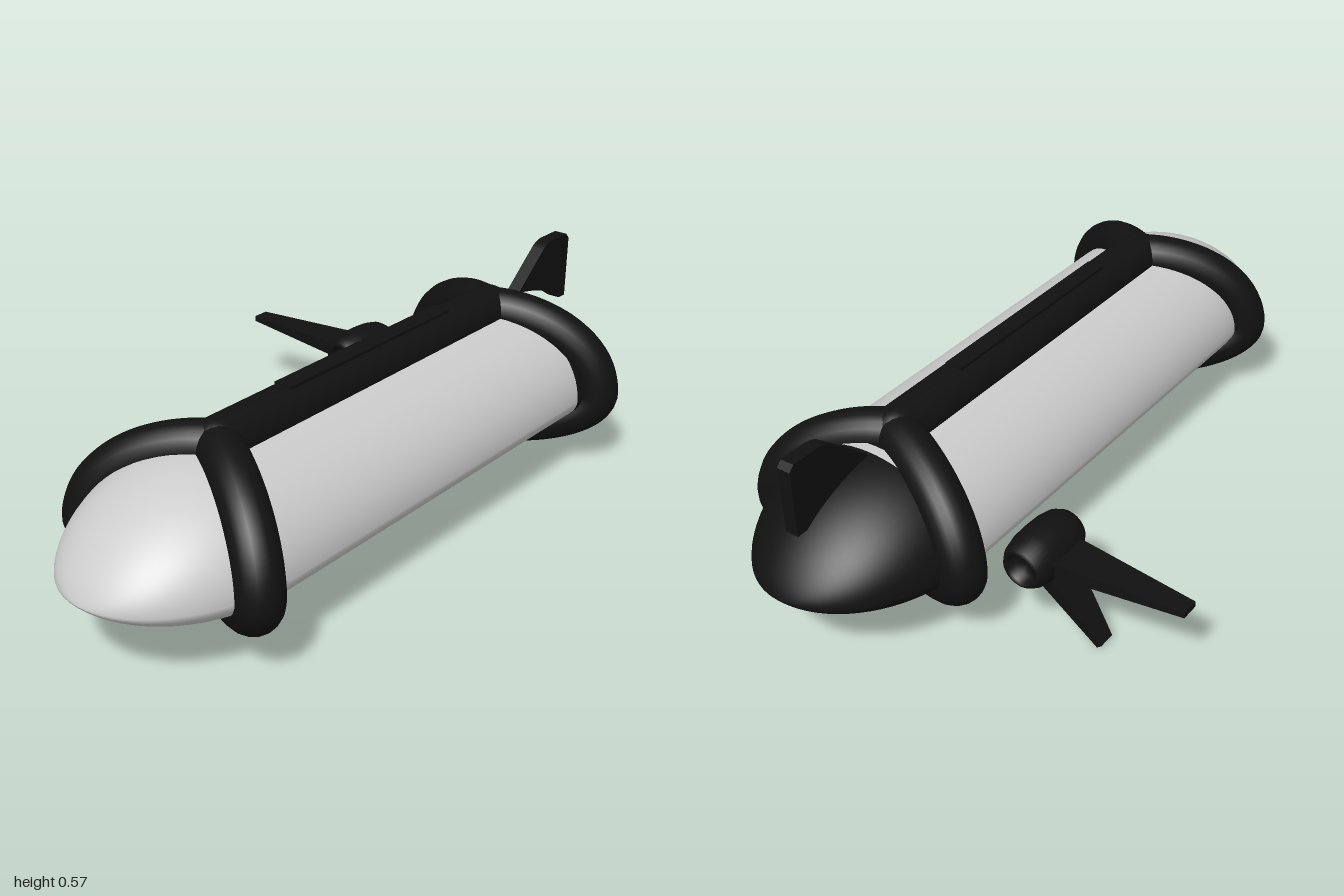
import * as THREE from 'three';

const CX = 0.23, CY = 0.22; // hull axis
const HALF_W = 0.28, UP = 0.225, DOWN = 0.12;

// Point on the lens-shaped hull section, scaled in width and height
function section(a, w = 1, h = 1) {
  const s = Math.sin(a);
  const y = s >= 0 ? s * UP : -Math.pow(-s, 1.12) * DOWN;
  return [CX + Math.cos(a) * HALF_W * w, CY + y * h];
}

// Skin lofted through [z, width, height] stations, z increasing
function loft(stations, n = 64) {
  const pos = [], idx = [];
  stations.forEach(([z, w, h], i) => {
    for (let j = 0; j < n; j++) {
      const [x, y] = section((j / n) * Math.PI * 2, w, h);
      pos.push(x, y, z);
      if (i === stations.length - 1) continue;
      const k = (j + 1) % n, a = i * n, b = a + n;
      idx.push(a + j, a + k, b + j, a + k, b + k, b + j);
    }
  });
  const g = new THREE.BufferGeometry();
  g.setAttribute('position', new THREE.Float32BufferAttribute(pos, 3));
  g.setIndex(idx);
  g.computeVertexNormals();
  return g;
}

// Rounded end from |z| = 0.6 to the tip at |z| = 1
function endStations(dir, grow = 1) {
  const out = [];
  for (let i = 0; i <= 20; i++) {
    const t = (i / 20) * Math.PI / 2;
    const c = Math.max(Math.cos(t), 0.001);
    out.push([dir * (0.6 + 0.4 * Math.sin(t)), c * grow, Math.pow(c, 1.5) * grow]);
  }
  return dir > 0 ? out : out.reverse();
}

export function createModel() {
  const root = new THREE.Group();
  const grey = new THREE.MeshStandardMaterial({ color: 0xcccccc, side: THREE.DoubleSide });
  const black = new THREE.MeshStandardMaterial({ color: 0x111111, side: THREE.DoubleSide });
  const add = (name, geo, mat, parent = root) => {
    const m = new THREE.Mesh(geo, mat);
    m.name = name;
    parent.add(m);
    return m;
  };

  // Hull with nose, and dark tail cap
  add('hull', loft([[-0.66, 1, 1], ...endStations(1)]), grey);
  add('tailCap', loft(endStations(-1, 1.005)), black);

  // Rails along the top and bottom
  const rails = new THREE.Group();
  rails.name = 'rails';
  root.add(rails);
  for (const y of [CY + UP, CY - DOWN]) {
    const rail = add('rail', new THREE.CylinderGeometry(0.066, 0.066, 1.1, 32), black, rails);
    rail.rotation.x = Math.PI / 2;
    rail.position.set(CX, y, 0);
    for (const z of [-0.55, 0.55]) {
      add('railEnd', new THREE.SphereGeometry(0.066, 24, 16), black, rails).position.set(CX, y, z);
    }
  }
  add('topStrip', new THREE.BoxGeometry(0.05, 0.02, 0.65), black, rails).position.set(CX, 0.505, 0);

  // Hoops that sweep outward from the rails to the sides
  for (const [name, dir, sweep, w] of [['frontHoop', 1, 0.165, 0.99], ['rearHoop', -1, 0.13, 1.04]]) {
    const hoop = new THREE.Group();
    hoop.name = name;
    root.add(hoop);
    for (const side of [1, -1]) {
      const pts = [];
      for (let i = 0; i <= 16; i++) {
        const a = -Math.PI / 2 + (i / 16) * Math.PI;
        const [x, y] = section(a, w * side);
        pts.push(new THREE.Vector3(x, y, dir * (0.555 + sweep * Math.cos(a))));
      }
      add('hoopHalf', new THREE.TubeGeometry(new THREE.CatmullRomCurve3(pts), 64, 0.06, 20), black, hoop);
    }
  }

  // Tail fin, drawn in (z, y) and standing just above the tail cap
  const fin = new THREE.Shape();
  fin.moveTo(0.68, 0.455);
  fin.lineTo(0.8, 0.555);
  fin.quadraticCurveTo(0.82, 0.57, 0.85, 0.57);
  fin.lineTo(0.92, 0.57);
  fin.lineTo(0.935, 0.555);
  fin.lineTo(0.935, 0.375);
  fin.lineTo(0.905, 0.375);
  fin.quadraticCurveTo(0.82, 0.435, 0.68, 0.455);
  const finGeo = new THREE.ExtrudeGeometry(fin, { depth: 0.038, bevelEnabled: false, curveSegments: 8 });
  finGeo.rotateY(Math.PI / 2); // drawn x becomes -z
  add('tailFin', finGeo, black).position.x = CX - 0.019;

  // Side pod: barrel with recessed ends and two tapered blades
  const pod = new THREE.Group();
  pod.name = 'sidePod';
  pod.position.set(-0.17, CY, -0.5);
  root.add(pod);
  const profile = [[0.001, -0.075], [0.035, -0.075], [0.037, -0.1], [0.052, -0.1], [0.064, -0.08], [0.071, -0.045],
    [0.073, 0], [0.071, 0.045], [0.064, 0.08], [0.052, 0.1], [0.037, 0.1], [0.035, 0.075], [0.001, 0.075]];
  const barrel = new THREE.LatheGeometry(profile.map(([r, y]) => new THREE.Vector2(r, y)), 32);
  add('podBarrel', barrel, black, pod).rotation.x = Math.PI / 2;

  for (const [name, angle, length] of [['upperBlade', Math.PI, 0.41], ['lowerBlade', Math.PI * 1.283, 0.277]]) {
    const geo = new THREE.BoxGeometry(length, 0.044, 0.13);
    const p = geo.attributes.position;
    for (let i = 0; i < p.count; i++) {
      if (p.getX(i) > 0) p.setXYZ(i, p.getX(i), p.getY(i) * 0.36, p.getZ(i) * 0.38);
    }
    geo.computeVertexNormals();
    geo.translate(length / 2, 0, 0);
    add(name, geo, black, pod).rotation.z = angle;
  }

  return root;
}
